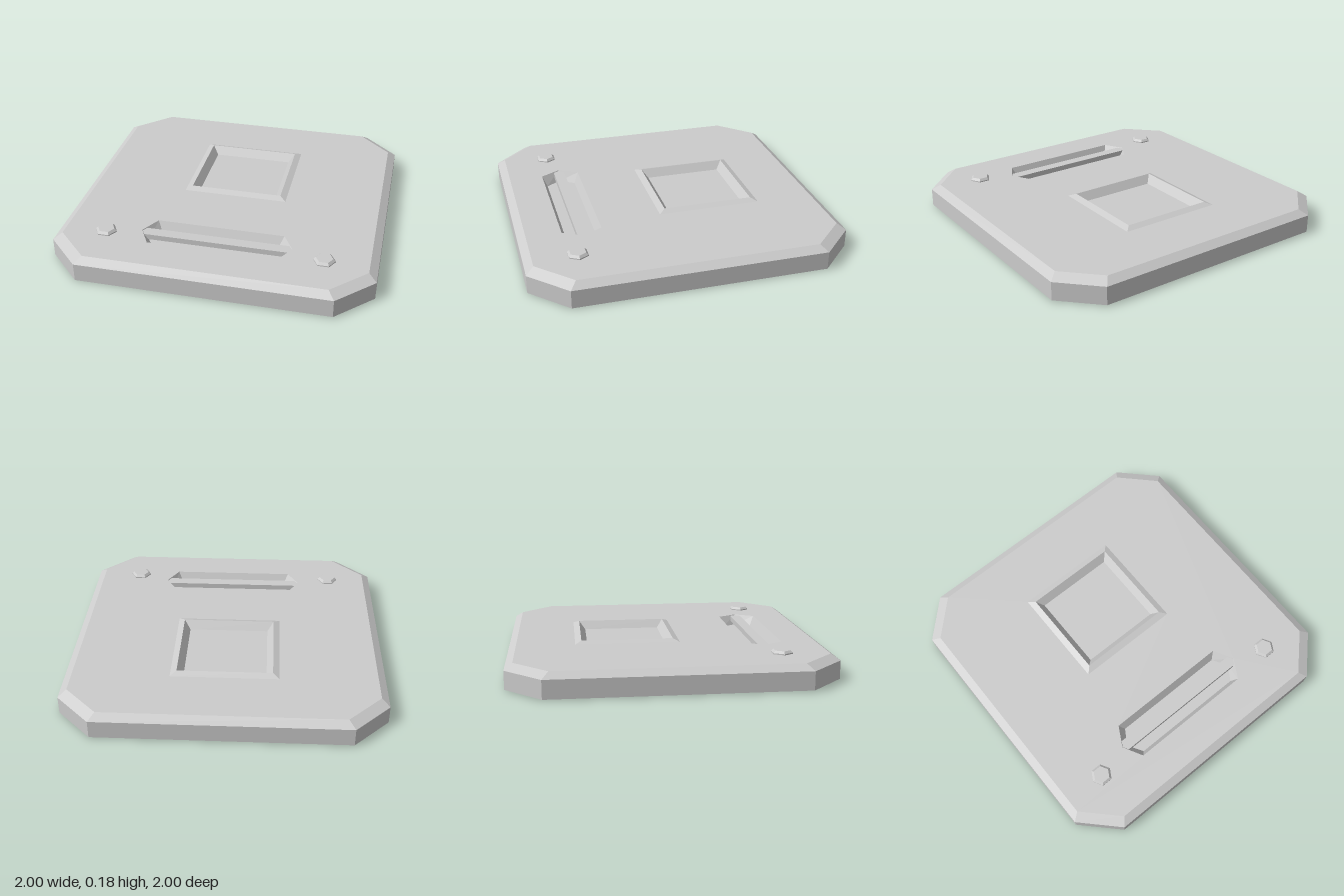
import * as THREE from 'three';

const material = new THREE.MeshStandardMaterial({ color: 0xcccccc, flatShading: true });

// Outlines are lists of [x, z], counter-clockwise seen from above.
const octagon = (s) => [[1, 0.78], [1, -0.78], [0.78, -1], [-0.78, -1], [-1, -0.78], [-1, 0.78], [-0.78, 1], [0.78, 1]]
  .map(([x, z]) => [x * s, z * s]);
const rect = (hx, z0, z1) => [[hx, z1], [hx, z0], [-hx, z0], [-hx, z1]];
const longHex = (tip, side, hz, cz) => [[tip, cz], [side, cz - hz], [-side, cz - hz], [-tip, cz], [-side, cz + hz], [side, cz + hz]];

// Joins rings of [outline, y] with flat faces and optionally caps the first and last ring.
function loft(rings, capStart, capEnd) {
  const pos = [];
  const loops = rings.map(([outline, y]) => outline.map(([x, z]) => [x, y, z]));
  for (let k = 0; k + 1 < loops.length; k++) {
    const a = loops[k], b = loops[k + 1], n = a.length;
    for (let i = 0; i < n; i++) {
      const j = (i + 1) % n;
      pos.push(...a[i], ...a[j], ...b[j], ...a[i], ...b[j], ...b[i]);
    }
  }
  const first = loops[0], last = loops[loops.length - 1];
  for (let i = 1; i + 1 < first.length; i++) {
    if (capStart) pos.push(...first[0], ...first[i + 1], ...first[i]);
    if (capEnd) pos.push(...last[0], ...last[i], ...last[i + 1]);
  }
  const geometry = new THREE.BufferGeometry();
  geometry.setAttribute('position', new THREE.Float32BufferAttribute(pos, 3));
  geometry.computeVertexNormals();
  return geometry;
}

export function createModel() {
  const group = new THREE.Group();
  const add = (name, geometry) => {
    const mesh = new THREE.Mesh(geometry, material);
    mesh.name = name;
    group.add(mesh);
    return mesh;
  };
  const topY = 0.155;
  const frameOuter = rect(0.34, -0.58, 0.085);
  const slotOuter = longHex(0.475, 0.405, 0.125, 0.605);

  // Underside pad, recess, rim, side walls and upper bevel
  add('slabBody', loft([
    [octagon(0.57), 0], [octagon(0.61), 0.033], [octagon(0.895), 0.033], [octagon(0.91), 0.005],
    [octagon(1), 0.005], [octagon(1), 0.12], [octagon(0.95), topY],
  ], true, false));

  // Top plate, open at the window and the handle slot
  const points = (outline) => outline.map(([x, z]) => new THREE.Vector2(x, -z));
  const plate = new THREE.Shape(points(octagon(0.95)));
  for (const hole of [frameOuter, slotOuter]) plate.holes.push(new THREE.Path(points(hole)));
  add('topPlate', new THREE.ShapeGeometry(plate).rotateX(-Math.PI / 2).translate(0, topY, 0));

  // Raised frame sloping down to a sunken panel
  add('windowFrame', loft([
    [frameOuter, topY], [rect(0.3, -0.54, 0.045), 0.172], [rect(0.26, -0.5, 0.005), 0.12],
  ], false, true));

  // Slot with a grab bar running between its pointed ends
  add('handleSlot', loft([[slotOuter, topY], [longHex(0.435, 0.375, 0.095, 0.605), 0.09]], false, true));
  const bar = longHex(0.473, 0.455, 0.035, 0.605);
  add('handleBar', loft([[bar, 0.115], [bar, 0.15]], true, true));

  // Bevelled hexagonal bolts
  for (const [name, x, z] of [['rightBolt', -0.69, 0.66], ['leftBolt', 0.68, 0.68]]) {
    const hex = (r) => longHex(r, r / 2, r * 0.866, 0);
    add(name, loft([[hex(0.068), topY], [hex(0.068), 0.162], [hex(0.053), 0.176]], false, true)).position.set(x, 0, z);
  }
  return group;
}
